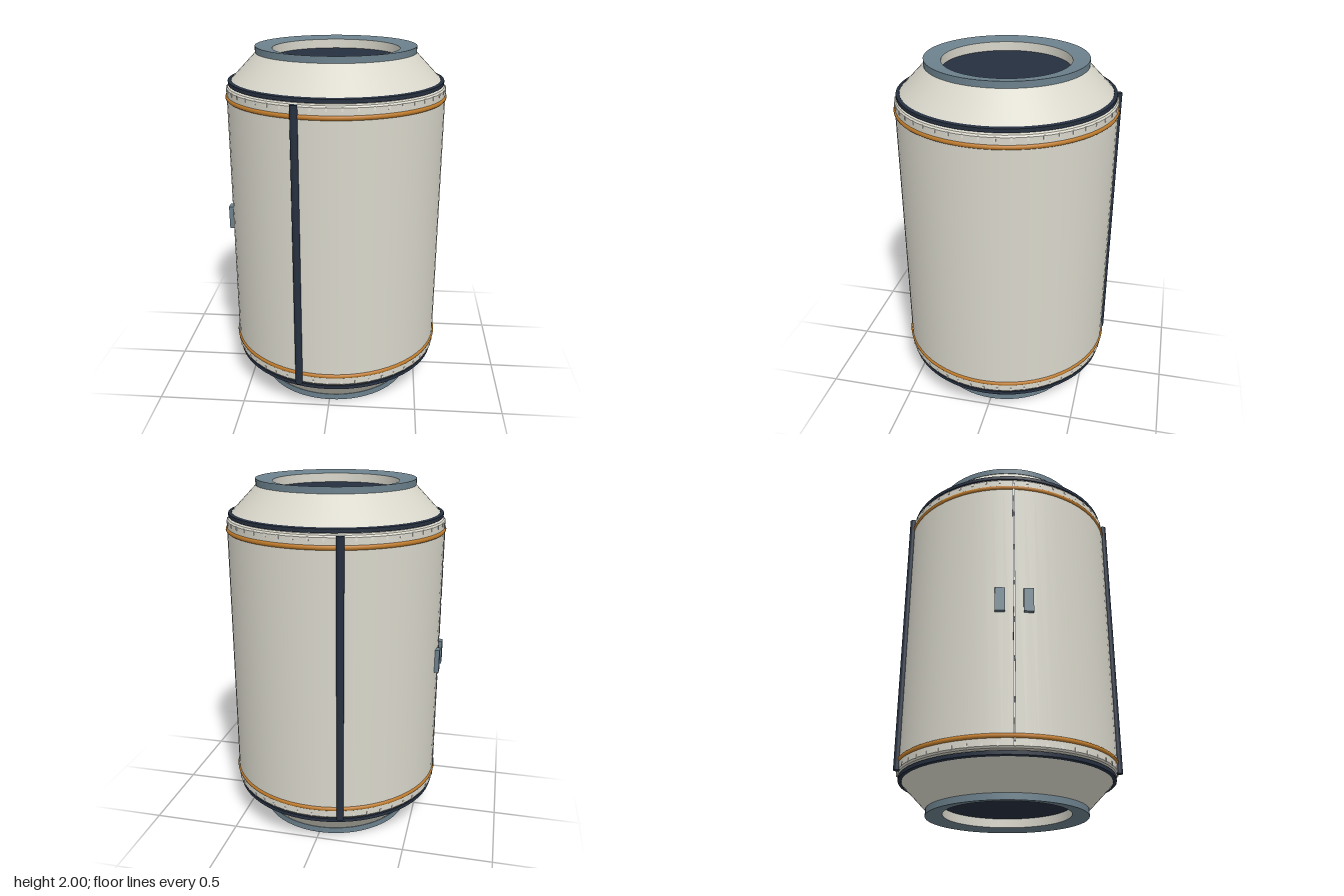
import * as THREE from 'three';
import { mergeGeometries } from 'three/addons/utils/BufferGeometryUtils.js';

const SEG = 64;

// Revolved profile with a crisp edge at every profile point
function ringProfile(points) {
  const parts = [];
  for (let i = 0; i < points.length - 1; i++) {
    parts.push(new THREE.LatheGeometry(
      [new THREE.Vector2(...points[i]), new THREE.Vector2(...points[i + 1])], SEG));
  }
  return mergeGeometries(parts);
}

export function createModel() {
  const mat = (name, color, side = THREE.FrontSide) => {
    const m = new THREE.MeshStandardMaterial({ color, side });
    m.name = name;
    return m;
  };
  const cream = mat('cream', 0xd9d7cb, THREE.DoubleSide);
  const pale = mat('pale', 0xe6e3dc);
  const navy = mat('navy', 0x263040);
  const steel = mat('steel', 0x6c818d);
  const orange = mat('orange', 0xc07c2c);

  const model = new THREE.Group();
  model.name = 'canister';
  const body = new THREE.Group();
  body.name = 'body';
  body.position.x = 0.003;
  model.add(body);

  const add = (name, geometry, material, x = 0, y = 0, z = 0) => {
    const mesh = new THREE.Mesh(geometry, material);
    mesh.name = name;
    mesh.position.set(x, y, z);
    body.add(mesh);
    return mesh;
  };

  // Main cylindrical shell with small chamfers
  add('shell', ringProfile([
    [0.585, 0.205], [0.6, 0.21], [0.607, 0.22], [0.607, 1.78], [0.6, 1.79], [0.585, 1.795],
  ]), cream);

  // Both ends share the same parts, mirrored about the middle
  for (const top of [true, false]) {
    const end = top ? 'top' : 'bottom';
    const Y = (y) => (top ? y : 2 - y);
    const profile = (pts) => ringProfile(top ? pts : pts.map(([r, y]) => [r, 2 - y]).reverse());

    add(end + 'Shoulder', profile([[0.585, 1.79], [0.585, 1.815], [0.44, 1.965]]), cream);
    add(end + 'Seal', profile([
      [0.575, 1.8], [0.597, 1.8], [0.597, 1.82], [0.578, 1.824], [0.57, 1.815],
    ]), navy);
    add(end + 'Collar', profile([
      [0.425, 1.965], [0.443, 1.965], [0.443, 2], [0.35, 1.985],
    ]), steel);
    add(end + 'Lining', profile([[0.35, 1.92], [0.35, 1.985]]), cream);

    // Recessed disc closing the opening
    const disc = add(end + 'Hatch', new THREE.CircleGeometry(0.35, SEG), navy, 0, Y(1.935));
    disc.rotation.x = top ? -Math.PI / 2 : Math.PI / 2;

    const hoop = add(end + 'Hoop', new THREE.TorusGeometry(0.601, 0.014, 10, SEG), orange, 0, Y(1.73));
    hoop.rotation.x = Math.PI / 2;

    // Small notches around the rim
    const notches = [];
    for (let i = 0; i < 48; i++) {
      const notch = new THREE.BoxGeometry(0.01, 0.02, 0.006);
      notch.translate(0, Y(1.772), 0.606);
      notch.rotateY((i / 48) * Math.PI * 2);
      notches.push(notch);
    }
    add(end + 'RimNotches', mergeGeometries(notches), pale);
  }

  // Door hinge rods, front and back, and the door handles
  for (const s of [-1, 1]) {
    add(s > 0 ? 'frontHingeRod' : 'backHingeRod',
      new THREE.CylinderGeometry(0.02, 0.02, 1.58, 16), navy, -0.16, 1, s * 0.592);
    add(s > 0 ? 'frontHandle' : 'backHandle',
      new THREE.BoxGeometry(0.025, 0.135, 0.053), steel, -0.6105, 1.003, s * 0.076);
  }

  // Seam where the two doors meet, with dark gaps along it
  add('doorSeam', new THREE.BoxGeometry(0.006, 1.56, 0.012), navy, -0.606, 1, 0);
  for (let i = 0; i < 7; i++) {
    add('seamStrip', new THREE.BoxGeometry(0.006, 0.19, 0.006), pale, -0.608, 0.34 + i * 0.22, 0);
  }

  return model;
}
